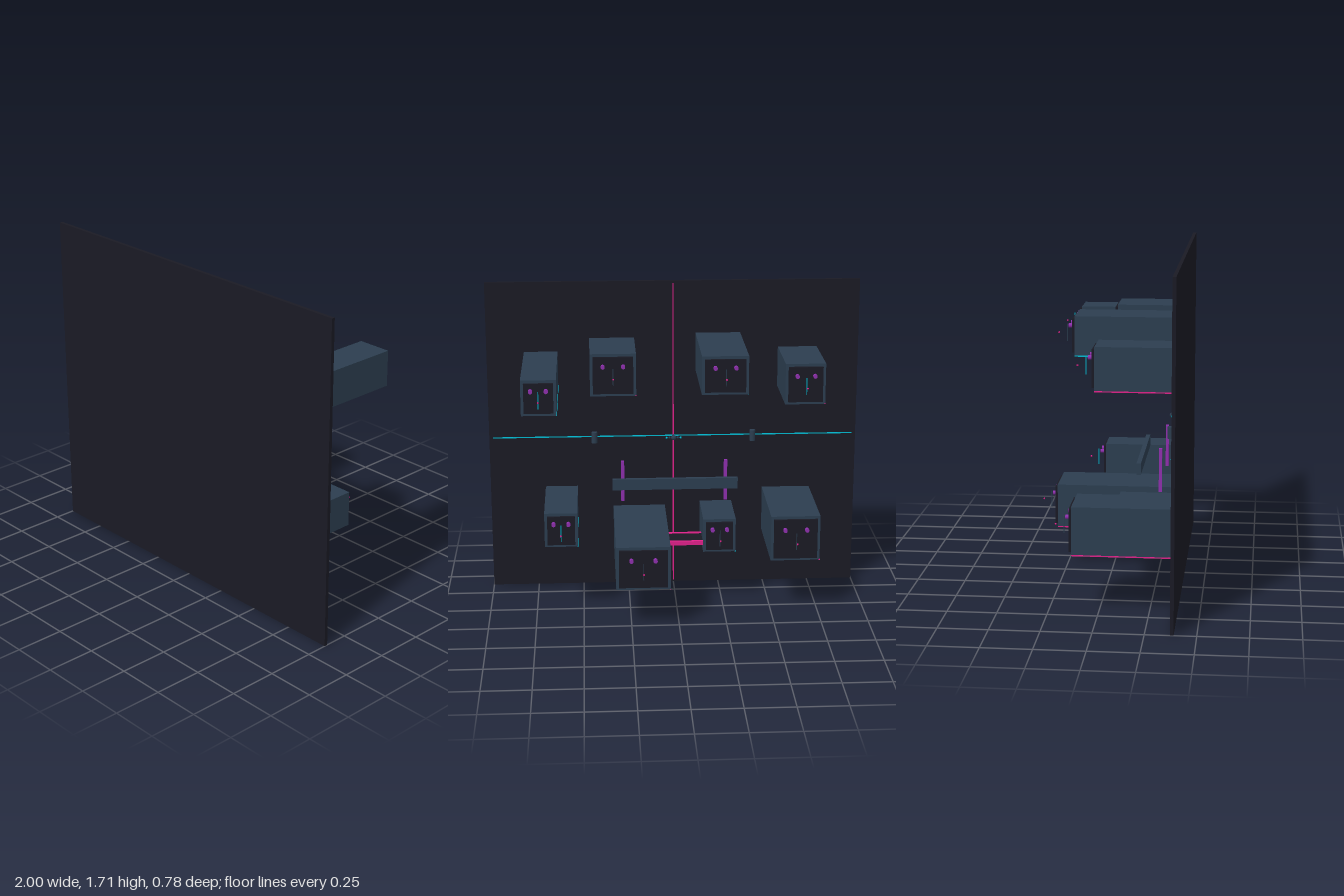
import * as THREE from 'three';

const mat = (name, color) => Object.assign(new THREE.MeshStandardMaterial({ color }), { name });

export function createModel() {
  const dark = mat('nearBlack', 0x1a1a24);
  const slate = mat('slateBlue', 0x2c3e50);
  const purple = mat('purple', 0x8e2fad);
  const magenta = mat('magenta', 0xe0218a);
  const cyan = mat('cyan', 0x00bcd4);

  const model = new THREE.Group();
  const put = (parent, name, geo, m, x, y, z) => {
    const mesh = new THREE.Mesh(geo, m);
    mesh.name = name;
    mesh.position.set(x, y, z);
    parent.add(mesh);
    return mesh;
  };
  // Box given by its limits on each axis
  const span = (parent, name, m, [x0, x1], [y0, y1], [z0, z1]) =>
    put(parent, name, new THREE.BoxGeometry(x1 - x0, y1 - y0, z1 - z0), m,
      (x0 + x1) / 2, (y0 + y1) / 2, (z0 + z1) / 2);

  // Upright ground slab; the city grows from it towards -z
  const G = 0.372;
  span(model, 'ground', dark, [-1, 1], [0, 1.712], [G, 0.39]);
  span(model, 'avenueLine', magenta, [-0.003, 0.003], [0.01, 1.7], [G - 0.003, G]);
  span(model, 'streetLine', cyan, [-0.98, 0.98], [0.852, 0.858], [G - 0.003, G]);

  // Towers: x limits, y limits, roof z, edge colour, mast colour
  const towers = [
    [[0.62, 0.8], [1.147, 1.333], -0.225, cyan, cyan],
    [[0.21, 0.45], [1.18, 1.405], 0.012, magenta, slate],
    [[-0.36, -0.12], [1.225, 1.427], -0.153, cyan, slate],
    [[-0.775, -0.565], [1.128, 1.345], -0.01, magenta, cyan],
    [[0.525, 0.7], [0.387, 0.573], -0.082, cyan, cyan],
    [[0.047, 0.33], [0.222, 0.455], -0.295, magenta, slate],
    [[-0.32, -0.145], [0.29, 0.475], 0.06, cyan, slate],
    [[-0.75, -0.49], [0.305, 0.55], -0.128, magenta, slate],
  ];
  const vent = new THREE.CylinderGeometry(0.011, 0.011, 0.022, 10).rotateX(Math.PI / 2);
  const mast = new THREE.CylinderGeometry(0.0025, 0.0025, 0.09, 6);
  const beacon = new THREE.SphereGeometry(0.005, 8, 6);
  const pane = new THREE.BoxGeometry(0.022, 0.006, 0.016);

  for (const [xs, ys, top, edge, mastMat] of towers) {
    const tower = new THREE.Group();
    tower.name = 'tower';
    model.add(tower);
    const w = xs[1] - xs[0], d = ys[1] - ys[0], h = G - top;
    const cx = (xs[0] + xs[1]) / 2, cy = (ys[0] + ys[1]) / 2;
    span(tower, 'towerBody', slate, xs, ys, [top, G]);
    span(tower, 'roofCap', dark, [xs[0] + 0.015, xs[1] - 0.015],
      [ys[0] + 0.015, ys[1] - 0.015], [top - 0.014, top]);
    const roof = top - 0.014;
    for (const s of [-1, 1]) {
      put(tower, 'roofVent', vent, purple, cx + s * w * 0.22, cy + d * 0.22, roof - 0.011);
    }
    // Mast and its beacon hover above the roof
    put(tower, 'mast', mast, mastMat, cx, cy, roof - 0.036);
    put(tower, 'beacon', beacon, magenta, cx, cy, roof - 0.078);
    span(tower, 'edgeStrip', edge, [xs[0] - 0.002, xs[0] + 0.004],
      [ys[0] - 0.002, ys[0] + 0.004], [top, G]);
    // Window grid on the street side
    const cols = w > 0.2 ? 4 : 3, rows = Math.round(h / 0.09);
    for (let r = 0; r < rows; r++) {
      for (let c = 0; c < cols; c++) {
        put(tower, 'window', pane, cyan, xs[0] + w * (c + 0.5) / cols,
          ys[0], G - h * (r + 0.5) / rows);
      }
    }
  }

  // Bridge beam with two posts
  span(model, 'bridgeBeam', slate, [-0.337, 0.337], [0.615, 0.675], [0.157, 0.18]);
  for (const x of [-0.28, 0.28]) {
    span(model, 'bridgePost', purple, [x - 0.009, x + 0.009], [0.515, 0.742], [0.268, 0.284]);
  }

  // Dark sign panel with bright borders
  span(model, 'signPanel', dark, [-0.14, 0.14], [0.352, 0.368], [0.01, 0.155]);
  for (const z of [0.013, 0.146]) {
    span(model, 'signBorder', magenta, [-0.14, 0.14], [0.35, 0.372], [z - 0.008, z + 0.008]);
  }

  // Street drums
  const drum = new THREE.CylinderGeometry(0.016, 0.016, 0.06, 12);
  for (const x of [-0.43, 0.43]) put(model, 'streetDrum', drum, slate, x, 0.86, 0.335);

  // Small hovering craft over the crossing
  const craft = new THREE.Group();
  craft.name = 'craft';
  craft.position.set(0, 0.857, 0.318);
  model.add(craft);
  put(craft, 'craftBody', new THREE.SphereGeometry(0.014, 12, 8), slate, 0, 0, 0);
  const pod = new THREE.SphereGeometry(0.006, 8, 6);
  for (const s of [-1, 1]) {
    put(craft, 'craftPod', pod, slate, s * 0.022, 0, 0);
    put(craft, 'craftLight', pod, cyan, s * 0.038, 0, 0);
  }
  for (const z of [0.02, 0.033, 0.046]) put(craft, 'craftTrail', pod, slate, 0, 0, z);

  return model;
}
